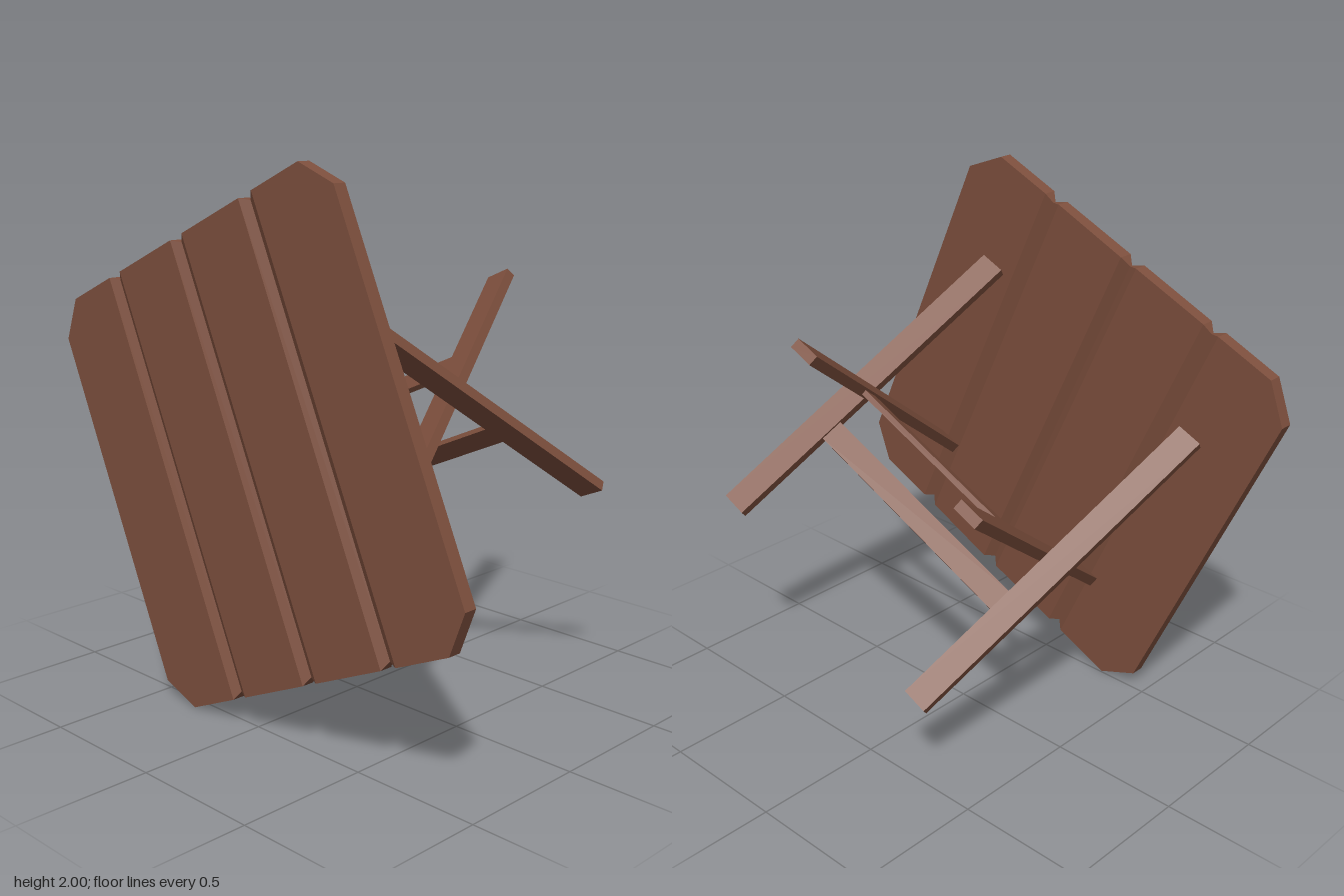
import * as THREE from 'three';

const wood = new THREE.MeshStandardMaterial({ color: 0x7d4f3d });
wood.name = 'brown wood';
wood.flatShading = true;

const HALF = 0.794, CUT = 0.674;   // half size of the square top, start of its cut corners
const THICK = 0.025;               // half thickness of a plank
const GROOVE = 0.397, BEVEL = 0.035;

// Lofts a plank across its width from columns [x, half length, half thickness, extra depth at the back]
function plankGeometry(columns) {
  const pos = [], index = [];
  for (const [x, v, t, back = 0] of columns) {
    pos.push(x, -v, -t - back, x, v, -t - back, x, v, t, x, -v, t);
  }
  for (let i = 0; i < columns.length - 1; i++) {
    for (let j = 0; j < 4; j++) {
      const a = i * 4 + j, b = i * 4 + (j + 1) % 4;
      index.push(a, b, b + 4, a, b + 4, a + 4);
    }
  }
  const e = (columns.length - 1) * 4;
  index.push(0, 2, 1, 0, 3, 2, e, e + 1, e + 2, e, e + 2, e + 3);
  const g = new THREE.BufferGeometry();
  g.setAttribute('position', new THREE.Float32BufferAttribute(pos, 3));
  g.setIndex(index);
  const flat = g.toNonIndexed();
  flat.computeVertexNormals();
  return flat;
}

function add(parent, geometry, name, x = 0, y = 0, z = 0) {
  const mesh = new THREE.Mesh(geometry, wood);
  mesh.name = name;
  mesh.position.set(x, y, z);
  parent.add(mesh);
}

export function createModel() {
  const model = new THREE.Group();
  model.name = 'tippedTable';

  // The table lies on its edge, turned about z
  const table = new THREE.Group();
  table.name = 'table';
  table.position.y = 1;
  table.rotation.z = THREE.MathUtils.degToRad(24.1);
  model.add(table);

  // Table top: four planks bevelled along the joints, outer ones with cut corners
  const top = new THREE.Group();
  top.name = 'tableTop';
  top.position.z = 0.53;
  table.add(top);
  const joint = (x) => [x, 0.773, 0.006];
  const outer = [
    [-HALF, CUT, THICK], [-CUT, HALF, THICK],
    [-GROOVE - BEVEL, HALF, THICK], joint(-GROOVE),
  ];
  const inner = (x, back) => [
    joint(x), [x + BEVEL, HALF, THICK, back],
    [x + GROOVE - BEVEL, HALF, THICK], joint(x + GROOVE),
  ];
  const mirrored = outer.map(([x, v, t]) => [-x, v, t]).reverse();
  [outer, inner(-GROOVE, 0), inner(0, 0.006), mirrored].forEach((columns, i) => {
    add(top, plankGeometry(columns), 'plank' + (i + 1));
  });

  // Two crossing leg frames, each a pair of legs joined by a thin stretcher
  for (const [name, tilt, x] of [['outer', -0.687, 0.523], ['inner', 0.687, 0.415]]) {
    const frame = new THREE.Group();
    frame.name = name + 'LegFrame';
    frame.position.set(0, -0.023, -0.0275);
    frame.rotation.x = tilt;
    table.add(frame);
    for (const side of [-1, 1]) {
      add(frame, new THREE.BoxGeometry(0.1, 0.038, 1.345), side > 0 ? 'leftLeg' : 'rightLeg', side * x);
    }
    add(frame, new THREE.BoxGeometry(2 * x - 0.1, 0.02, 0.09), 'stretcher', 0, 0, -0.217);
  }

  return model;
}
